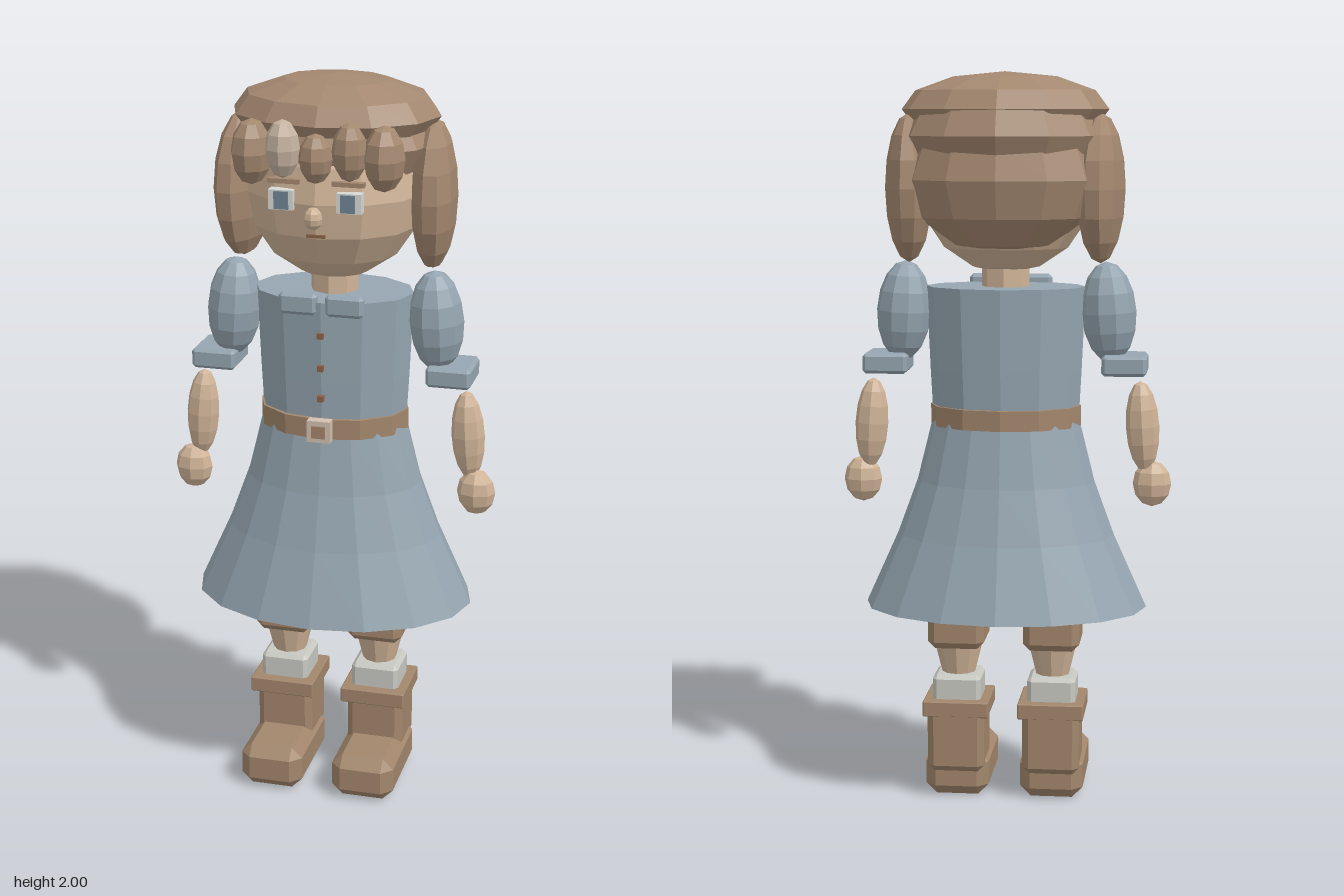
import * as THREE from 'three';
import { ConvexGeometry } from 'three/addons/geometries/ConvexGeometry.js';

const mat = (name, color) => {
  const m = new THREE.MeshStandardMaterial({ color, flatShading: true });
  m.name = name;
  return m;
};

export function createModel() {
  const skin = mat('skin', 0xd0b498);
  const hair = mat('hair brown', 0xa48870);
  const lightHair = mat('light hair', 0xc4b2a0);
  const dress = mat('dress blue', 0x95a5b0);
  const leather = mat('leather brown', 0xa2866c);
  const sock = mat('sock white', 0xc8c8c2);
  const eyeWhite = mat('eye white', 0xd8d8d4);
  const iris = mat('iris blue', 0x6f8494);
  const button = mat('button brown', 0x8a6248);
  const buckle = mat('buckle', 0xd2c0ae);

  const model = new THREE.Group();
  model.name = 'girl';

  const add = (parent, name, geometry, material, x, y, z) => {
    const mesh = new THREE.Mesh(geometry, material);
    mesh.name = name;
    mesh.position.set(x, y, z);
    parent.add(mesh);
    return mesh;
  };
  const ellipsoid = (rx, ry, rz, ws = 10, hs = 8) =>
    new THREE.SphereGeometry(1, ws, hs).scale(rx, ry, rz);
  // Box with all edges cut by c
  const chamferBox = (w, h, d, c) => {
    const pts = [];
    for (const a of [-1, 1]) for (const b of [-1, 1]) for (const e of [-1, 1]) {
      const [x, y, z] = [w / 2, h / 2, d / 2];
      pts.push(new THREE.Vector3(a * (x - c), b * (y - c), e * z));
      pts.push(new THREE.Vector3(a * (x - c), b * y, e * (z - c)));
      pts.push(new THREE.Vector3(a * x, b * (y - c), e * (z - c)));
    }
    return new ConvexGeometry(pts);
  };
  // Closed lathe, flattened front to back
  const turned = (profile, segments, depth) =>
    new THREE.LatheGeometry(profile.map(([r, y]) => new THREE.Vector2(r, y)), segments).scale(1, 1, depth);

  // Dress and belt
  add(model, 'skirt', turned([[0, 0.54], [0.39, 0.54], [0.3, 0.74], [0.245, 0.89], [0.2, 1.07], [0, 1.07]], 16, 0.715), dress, 0, 0, 0);
  add(model, 'bodice', turned([[0, 1.05], [0.2, 1.05], [0.208, 1.2], [0.218, 1.425], [0, 1.425]], 12, 0.69), dress, 0, 0, 0);
  add(model, 'belt', turned([[0, 1.045], [0.207, 1.045], [0.207, 1.1], [0, 1.1]], 12, 0.74), leather, 0, 0, 0);
  add(model, 'buckle', new THREE.BoxGeometry(0.064, 0.06, 0.03), buckle, 0, 1.073, 0.16);
  add(model, 'buckleCentre', new THREE.BoxGeometry(0.038, 0.034, 0.006), leather, 0, 1.073, 0.177);
  for (const y of [1.16, 1.245, 1.335]) {
    add(model, 'button', new THREE.BoxGeometry(0.016, 0.016, 0.016), button, 0, y, 0.15);
  }

  // Neck, head and face
  add(model, 'neck', new THREE.CylinderGeometry(0.065, 0.065, 0.12, 8), skin, 0, 1.45, 0);
  add(model, 'head', ellipsoid(0.24, 0.24, 0.207, 12, 8), skin, 0, 1.7, 0);
  add(model, 'nose', ellipsoid(0.025, 0.03, 0.025, 8, 6), skin, 0, 1.67, 0.22);
  add(model, 'mouth', new THREE.BoxGeometry(0.05, 0.008, 0.009), button, 0, 1.617, 0.194);

  // Hair
  add(model, 'hairCap', ellipsoid(0.28, 0.1, 0.22, 12, 6), hair, 0, 1.9, -0.02);
  add(model, 'hairCrown', ellipsoid(0.275, 0.14, 0.235, 12, 6), hair, 0, 1.83, -0.035);
  add(model, 'backHair', ellipsoid(0.265, 0.2, 0.185, 12, 6), hair, 0, 1.715, -0.08);
  const fringe = [[-0.175, 1.825, 0.175, 0.055, 0.086], [-0.088, 1.84, 0.19, 0.047, 0.076],
    [0, 1.82, 0.195, 0.045, 0.065], [0.088, 1.84, 0.19, 0.047, 0.076], [0.175, 1.825, 0.175, 0.055, 0.086]];
  fringe.forEach(([x, y, z, rx, ry], i) =>
    add(model, 'fringeCurl', ellipsoid(rx, ry, i % 4 ? 0.045 : 0.065, 8, 6), i === 1 ? lightHair : hair, x, y, z));

  // Mirrored parts
  for (const s of [1, -1]) {
    const side = new THREE.Group();
    side.name = s > 0 ? 'leftSide' : 'rightSide';
    model.add(side);

    const puff = add(side, 'sideHair', ellipsoid(0.064, 0.2, 0.145, 10, 8), hair, s * 0.26, 1.69, -0.035);
    puff.rotation.y = s * 0.12;
    add(side, 'eye', new THREE.BoxGeometry(0.066, 0.052, 0.03), eyeWhite, s * 0.09, 1.71, 0.192);
    add(side, 'iris', new THREE.BoxGeometry(0.038, 0.046, 0.006), iris, s * 0.088, 1.71, 0.21);
    add(side, 'eyebrow', new THREE.BoxGeometry(0.085, 0.012, 0.02), hair, s * 0.085, 1.757, 0.188);
    add(side, 'collar', chamferBox(0.104, 0.06, 0.03, 0.01), dress, s * 0.063, 1.418, 0.14);

    // Arm
    const sleeve = add(side, 'sleeve', ellipsoid(0.075, 0.138, 0.082, 10, 8), dress, s * 0.281, 1.355, 0.003);
    sleeve.rotation.z = s * 0.06;
    add(side, 'cuff', chamferBox(0.122, 0.056, 0.14, 0.009), dress, s * 0.326, 1.215, 0);
    const forearm = add(side, 'forearm', ellipsoid(0.046, 0.125, 0.044, 8, 8), skin, s * 0.375, 1.042, 0.012);
    forearm.rotation.z = s * 0.06;
    add(side, 'hand', ellipsoid(0.053, 0.064, 0.042, 8, 6), skin, s * 0.402, 0.883, 0.02);

    // Leg and boot
    const x = s * 0.132;
    add(side, 'trouserLeg', chamferBox(0.156, 0.18, 0.175, 0.02), leather, x, 0.513, 0);
    add(side, 'shin', new THREE.CylinderGeometry(0.075, 0.045, 0.12, 10), skin, x, 0.395, 0);
    add(side, 'sock', chamferBox(0.134, 0.09, 0.134, 0.012), sock, x, 0.3, 0);
    add(side, 'bootCuff', chamferBox(0.182, 0.044, 0.19, 0.003), leather, x, 0.255, 0);
    add(side, 'bootShaft', chamferBox(0.158, 0.18, 0.165, 0.018), leather, x, 0.165, -0.012);
    add(side, 'bootFoot', chamferBox(0.176, 0.125, 0.305, 0.03), leather, x, 0.0625, 0.077);
  }
  return model;
}
